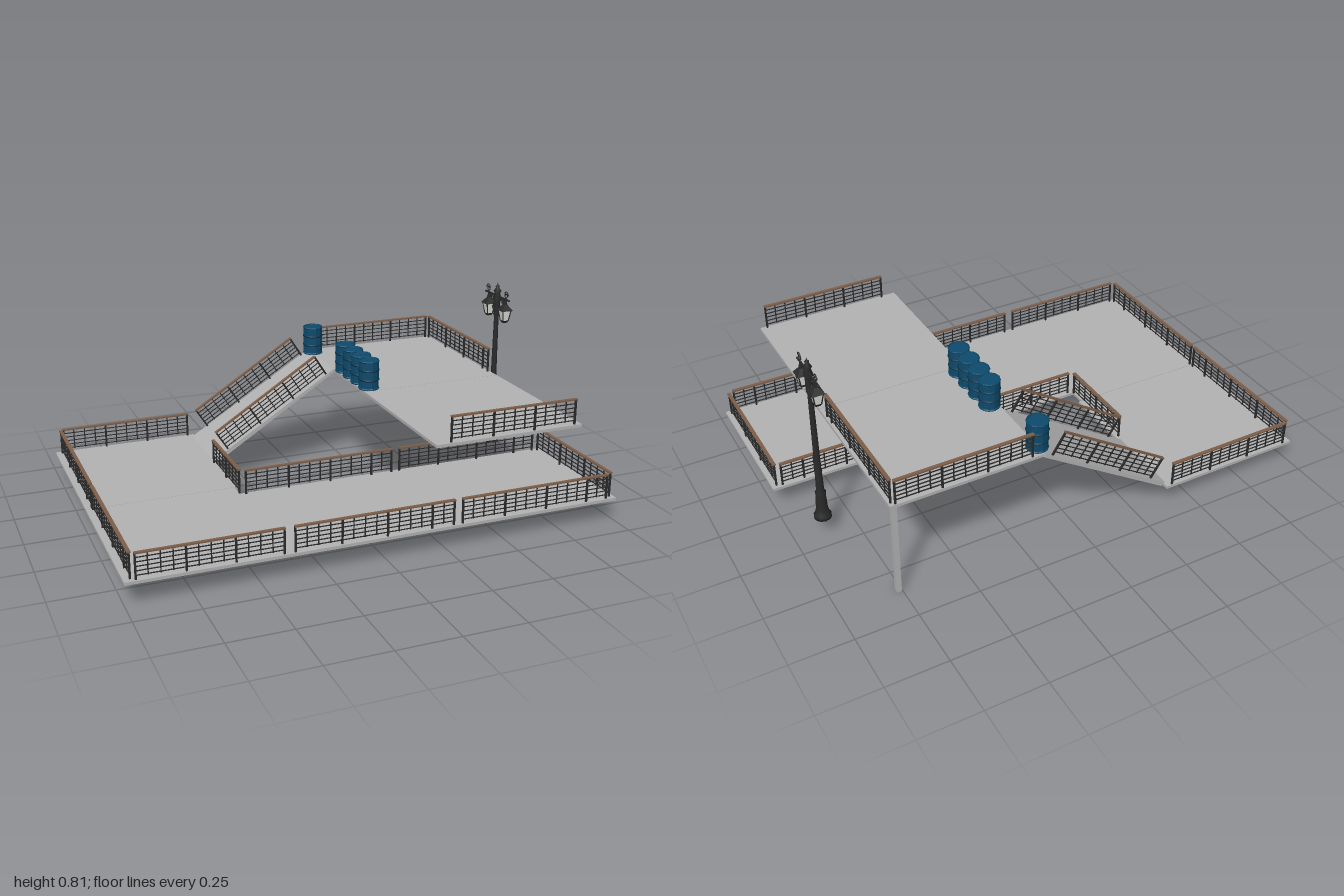
import * as THREE from 'three';
import { mergeGeometries } from 'three/addons/utils/BufferGeometryUtils.js';

const mat = (name, color) => {
  const m = new THREE.MeshStandardMaterial({ color });
  m.name = name;
  return m;
};

export function createModel() {
  const root = new THREE.Group();
  root.name = 'raisedWalkway';
  const concrete = mat('concrete', 0xb2b2b2);
  const iron = mat('iron', 0x2a2a2b);
  const wood = mat('handrailWood', 0x7d5e48);
  const blue = mat('barrelBlue', 0x0d4a6c);
  const darkBlue = mat('barrelRing', 0x08324a);
  const glass = mat('lanternGlass', 0xe6e6e0);

  const add = (name, geo, material, parent = root) => {
    const m = new THREE.Mesh(geo, material);
    m.name = name;
    parent.add(m);
    return m;
  };
  const box = (w, h, d, x, y, z) => new THREE.BoxGeometry(w, h, d).translate(x, y, z);
  const slab = (name, x0, x1, y0, y1, z0, z1) =>
    add(name, box(x1 - x0, y1 - y0, z1 - z0, (x0 + x1) / 2, (y0 + y1) / 2, (z0 + z1) / 2), concrete);

  // Decks, with narrow joints between the slabs
  slab('lowerDeckBack', -1, -0.375, 0.088, 0.1, -0.68, -0.016);
  slab('lowerDeckCorner', -1, -0.39, 0.088, 0.1, -0.014, 0.65);
  slab('lowerDeckFront', -0.39, 1, 0.088, 0.1, 0.055, 0.65);
  slab('upperDeckBack', 0.175, 0.795, 0.438, 0.45, -0.65, 0.009);
  slab('upperDeckFront', 0.175, 0.795, 0.438, 0.45, 0.011, 0.676);
  slab('supportPillar', 0.753, 0.773, 0, 0.44, -0.61, -0.59);

  // Ramp: a slanted slab extruded across z
  const side = new THREE.Shape([[-0.385, 0.1], [-0.365, 0.09], [0.18, 0.438], [0.175, 0.45]]
    .map(([x, y]) => new THREE.Vector2(x, y)));
  add('ramp', new THREE.ExtrudeGeometry(side, { depth: 0.325, bevelEnabled: false })
    .translate(0, 0, -0.655), concrete);

  // Railing panel from a to b; uprights stand square to the line
  function railing(name, a, b) {
    const start = new THREE.Vector3(...a), dir = new THREE.Vector3(...b).sub(start);
    const len = dir.length();
    dir.normalize();
    const sideways = new THREE.Vector3().crossVectors(dir, new THREE.Vector3(0, 1, 0)).normalize();
    const up = new THREE.Vector3().crossVectors(sideways, dir);
    const g = new THREE.Group();
    g.name = name;
    g.matrixAutoUpdate = true;
    g.quaternion.setFromRotationMatrix(new THREE.Matrix4().makeBasis(dir, up, sideways));
    g.position.copy(start);
    const parts = [];
    for (const y of [0.016, 0.033, 0.05, 0.067, 0.084]) parts.push(box(len, 0.003, 0.004, len / 2, y, 0));
    const n = Math.round(len / 0.046);
    for (let i = 0; i <= n; i++) {
      const main = i % 4 === 0 || i === n;
      const w = main ? 0.007 : 0.004;
      const y0 = main ? 0 : 0.012;
      parts.push(box(w, 0.1 - y0, w, w / 2 + (len - w) * i / n, (0.1 + y0) / 2, 0));
    }
    add('bars', mergeGeometries(parts), iron, g);
    add('handrail', box(len, 0.006, 0.014, len / 2, 0.102, 0), wood, g);
    root.add(g);
  }
  const L = 0.1, U = 0.45;
  for (const [x0, x1] of [[-0.96, -0.405], [-0.37, 0.28], [0.31, 0.96]])
    railing('frontRailing', [x0, L, 0.64], [x1, L, 0.64]);
  for (const [x0, x1] of [[-0.37, 0.28], [0.31, 0.96]])
    railing('innerRailing', [x0, L, 0.066], [x1, L, 0.066]);
  railing('lowerBackRailing', [-0.965, L, -0.674], [-0.4, L, -0.674]);
  railing('leftRailing', [-0.974, L, -0.665], [-0.974, L, -0.025]);
  railing('leftRailing', [-0.974, L, -0.01], [-0.974, L, 0.63]);
  railing('endRailing', [0.98, L, 0.07], [0.98, L, 0.63]);
  railing('wellRailing', [-0.39, L, -0.31], [-0.39, L, 0.055]);
  railing('upperBackRailing', [0.22, U, -0.643], [0.775, U, -0.643]);
  railing('upperFrontRailing', [0.235, U, 0.667], [0.77, U, 0.667]);
  railing('upperRightRailing', [0.785, U, -0.635], [0.785, U, -0.05]);
  for (const z of [-0.646, -0.338]) railing('rampRailing', [-0.316, 0.137, z], [0.144, 0.43, z]);

  // Barrels with two raised rings and rims
  const profile = [[0, 0], [0.043, 0], [0.045, 0.004], [0.042, 0.008], [0.042, 0.117], [0.045, 0.121],
    [0.043, 0.125], [0.04, 0.125], [0.039, 0.12], [0, 0.12]].map(([r, y]) => new THREE.Vector2(r, y));
  const ring = [[0.041, -0.005], [0.045, -0.002], [0.045, 0.002], [0.041, 0.005]]
    .map(([r, y]) => new THREE.Vector2(r, y));
  const drum = new THREE.LatheGeometry(profile, 12).toNonIndexed();
  drum.computeVertexNormals();
  for (const [x, z] of [[0.18, -0.6], [0.21, -0.285], [0.21, -0.2], [0.21, -0.115], [0.21, -0.03]]) {
    const g = new THREE.Group();
    g.name = 'barrel';
    g.position.set(x, U, z);
    add('drum', drum, blue, g);
    for (const y of [0.042, 0.083]) add('ring', new THREE.LatheGeometry(ring, 12), darkBlue, g).position.y = y;
    root.add(g);
  }

  // Street lamp
  const lamp = new THREE.Group();
  lamp.name = 'streetLamp';
  lamp.position.set(0.88, 0, -0.165);
  root.add(lamp);
  const post = [[0, 0.078], [0.035, 0.078], [0.035, 0.092], [0.028, 0.1], [0.024, 0.12], [0.02, 0.19],
    [0.022, 0.2], [0.016, 0.21], [0.014, 0.3], [0.016, 0.305], [0.013, 0.315], [0.01, 0.66], [0.014, 0.67],
    [0.014, 0.73], [0.019, 0.74], [0.012, 0.765], [0.017, 0.775], [0.008, 0.788], [0.009, 0.797],
    [0.003, 0.803], [0, 0.815]].map(([r, y]) => new THREE.Vector2(r, y));
  add('lampPost', new THREE.LatheGeometry(post, 12), iron, lamp);
  add('crossArm', box(0.006, 0.007, 0.2, 0, 0.753, 0), iron, lamp);

  // Spiral ironwork in the plane of the cross arm
  const scroll = (z, y, r, from, turn) => {
    const pts = [];
    for (let i = 0; i <= 18; i++) {
      const t = i / 18, q = r * (1 - 0.75 * t), ang = from + turn * t * Math.PI * 3;
      pts.push(new THREE.Vector3(0, y + q * Math.sin(ang), z + q * Math.cos(ang)));
    }
    add('scroll', new THREE.TubeGeometry(new THREE.CatmullRomCurve3(pts), 36, 0.0022, 5), iron, lamp);
  };
  for (const s of [-1, 1]) {
    const facing = s > 0 ? 0 : Math.PI;
    scroll(s * 0.078, 0.772, 0.018, facing, s);
    scroll(s * 0.025, 0.7, 0.016, facing, -s);
    scroll(s * 0.042, 0.738, 0.012, facing, s);
    add('armTip', new THREE.SphereGeometry(0.005, 8, 6).translate(0, 0.753, s * 0.102), iron, lamp);

    // Four-sided hanging lantern
    const lantern = new THREE.Group();
    lantern.name = 'lantern';
    lantern.position.z = s * 0.07;
    lamp.add(lantern);
    const frustum = (top, bottom, y0, y1) => {
      const g = new THREE.CylinderGeometry(top * Math.SQRT1_2, bottom * Math.SQRT1_2, y1 - y0, 4)
        .rotateY(Math.PI / 4).translate(0, (y0 + y1) / 2, 0).toNonIndexed();
      g.computeVertexNormals();
      return g;
    };
    add('glass', frustum(0.04, 0.024, 0.66, 0.705), glass, lantern);
    add('roof', frustum(0.016, 0.052, 0.705, 0.73), iron, lantern);
    add('hanger', frustum(0.008, 0.016, 0.73, 0.753), iron, lantern);
    add('base', frustum(0.028, 0.018, 0.65, 0.66), iron, lantern);
    for (const cx of [-1, 1]) for (const cz of [-1, 1]) {
      const path = new THREE.LineCurve3(new THREE.Vector3(cx * 0.012, 0.658, cz * 0.012),
        new THREE.Vector3(cx * 0.02, 0.707, cz * 0.02));
      add('cornerBar', new THREE.TubeGeometry(path, 1, 0.0028, 5), iron, lantern);
    }
  }
  return root;
}
